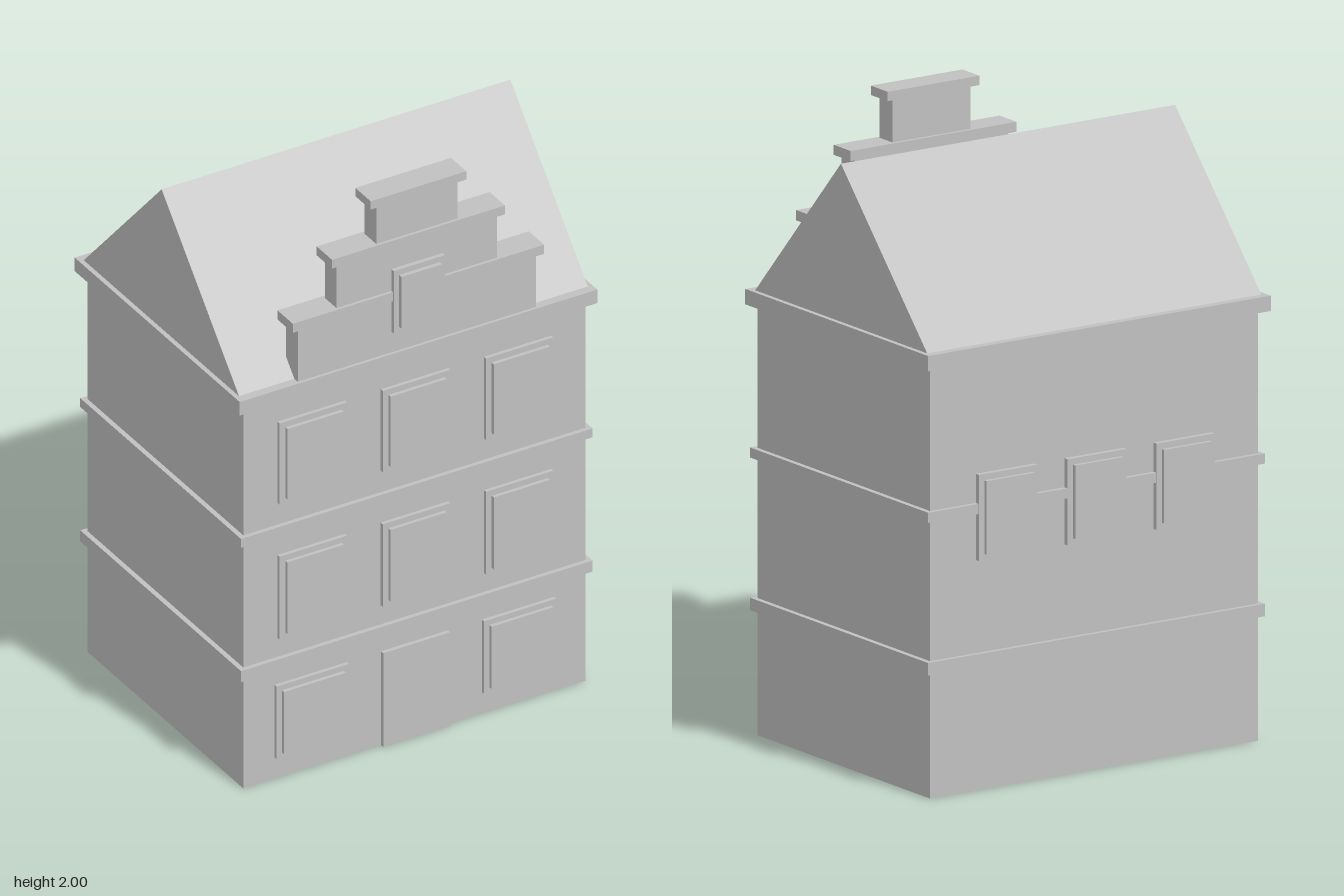
import * as THREE from 'three';

export function createModel() {
  const house = new THREE.Group();
  house.name = 'gabledHouse';
  const plainGrey = new THREE.MeshStandardMaterial({ color: 0xc0c0c0 });
  plainGrey.name = 'plainGrey';

  // Box given by its limits on each axis
  function block(name, x0, x1, y0, y1, z0, z1, parent = house) {
    const mesh = new THREE.Mesh(new THREE.BoxGeometry(x1 - x0, y1 - y0, z1 - z0), plainGrey);
    mesh.position.set((x0 + x1) / 2, (y0 + y1) / 2, (z0 + z1) / 2);
    mesh.name = name;
    parent.add(mesh);
    return mesh;
  }

  // Window: a surround and a prouder pane, both starting inside the wall
  function windowUnit(name, x, y0, y1, width, border, wallZ, frameZ, paneZ) {
    const group = new THREE.Group();
    group.name = name;
    const half = width / 2;
    const layer = (part, inset, z) => block(part,
      x - half + inset, x + half - inset, y0 + inset, y1 - inset,
      Math.min(wallZ, z), Math.max(wallZ, z), group);
    layer('windowFrame', 0, frameZ);
    layer('windowPane', border, paneZ);
    house.add(group);
  }

  // Walls and the ledges running round them
  block('walls', -0.615, 0.615, 0, 1.4, -0.475, 0.46);
  block('lowerLedge', -0.632, 0.632, 0.398, 0.438, -0.49, 0.475);
  block('upperLedge', -0.632, 0.632, 0.885, 0.917, -0.49, 0.475);
  block('cornice', -0.643, 0.643, 1.373, 1.422, -0.505, 0.485);

  // Pitched roof, ridge along x
  const section = new THREE.Shape([
    new THREE.Vector2(-0.479, 1.42),
    new THREE.Vector2(0.456, 1.42),
    new THREE.Vector2(-0.01, 1.926),
  ]);
  const roofGeometry = new THREE.ExtrudeGeometry(section, { depth: 1.254, bevelEnabled: false });
  roofGeometry.rotateY(-Math.PI / 2).translate(0.627, 0, 0);
  const roof = new THREE.Mesh(roofGeometry, plainGrey);
  roof.name = 'roof';
  house.add(roof);

  // Stepped front gable: half width, base, cap base, cap top, cap half width
  const steps = [
    [0.428, 1.42, 1.612, 1.645, 0.452],
    [0.289, 1.645, 1.8, 1.832, 0.311],
    [0.146, 1.832, 1.97, 2.0, 0.172],
  ];
  for (const [w, base, capBase, top, capW] of steps) {
    block('gableStep', -w, w, base, capBase, 0.405, 0.475);
    block('gableCap', -capW, capW, capBase, top, 0.393, 0.485);
  }
  windowUnit('gableWindow', 0, 1.498, 1.724, 0.184, 0.019, 0.44, 0.49, 0.505);

  // Front windows and door
  for (const [y0, y1] of [[0.507, 0.807], [0.995, 1.29]]) {
    for (const x of [-0.371, 0, 0.371]) {
      windowUnit('frontWindow', x, y0, y1, 0.242, 0.02, 0.45, 0.473, 0.486);
    }
  }
  for (const x of [-0.373, 0.373]) {
    windowUnit('groundWindow', x, 0.077, 0.34, 0.26, 0.019, 0.45, 0.473, 0.486);
  }
  block('frontDoor', -0.12, 0.12, 0, 0.34, 0.45, 0.474);

  // Back windows
  for (const x of [-0.333, 0, 0.333]) {
    windowUnit('backWindow', x, 0.735, 1.01, 0.22, 0.02, -0.465, -0.492, -0.505);
  }

  return house;
}
